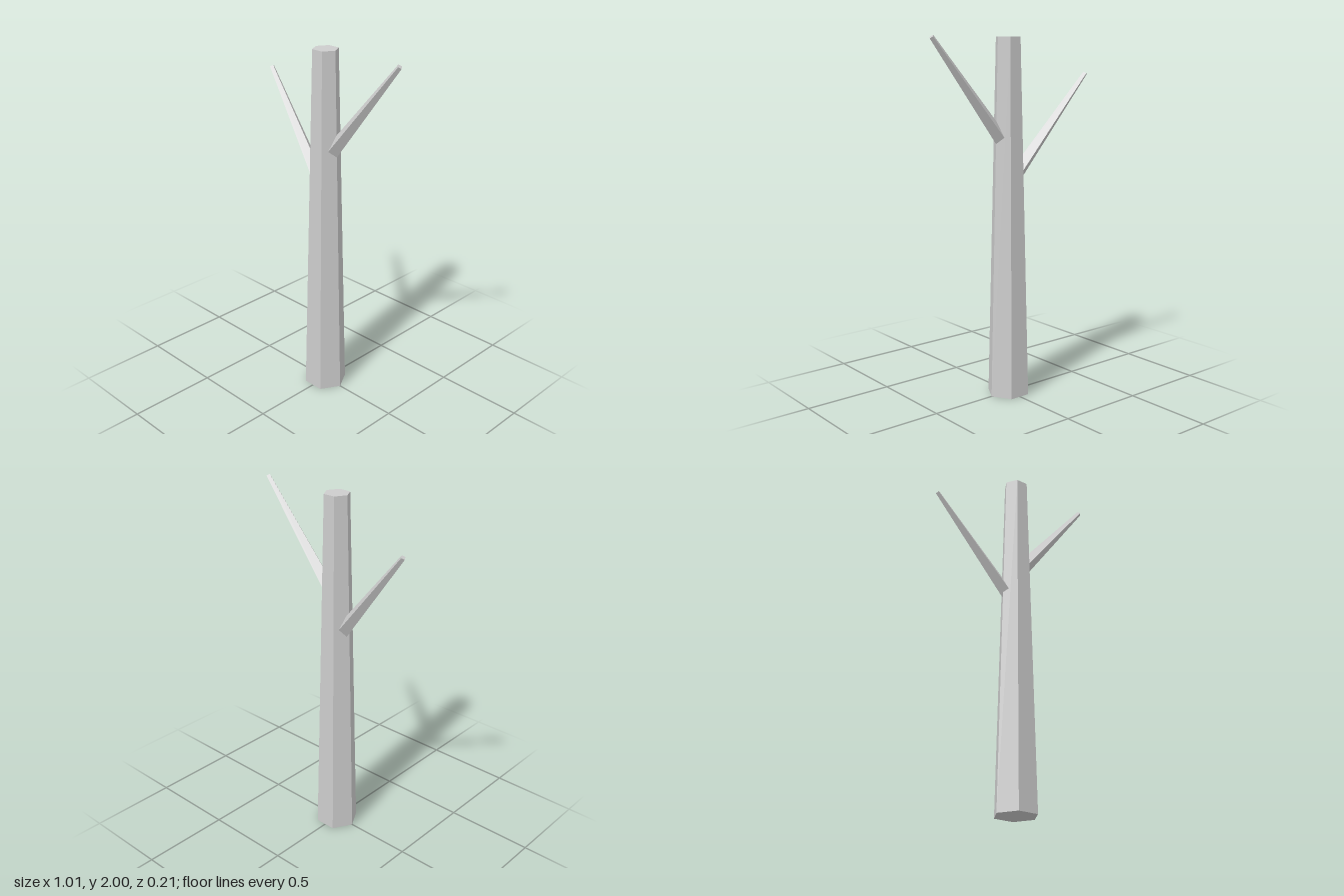
import * as THREE from 'three';

export function createModel() {
  const model = new THREE.Group();
  model.name = 'bareTree';
  const bark = new THREE.MeshStandardMaterial({ color: 0xcccccc, flatShading: true });
  bark.name = 'paleGreyBark';

  // Six-sided tapering trunk with corners on the x axis
  const trunk = new THREE.Mesh(
    new THREE.CylinderGeometry(0.07, 0.121, 1.992, 6, 1, false, Math.PI / 6), bark);
  trunk.name = 'trunk';
  trunk.position.y = 0.996;
  model.add(trunk);

  // Four-sided tapering branch from base to tip, one edge kept on top
  function addBranch(name, base, tip, baseRadius, tipRadius) {
    const span = tip.clone().sub(base);
    const geometry = new THREE.CylinderGeometry(tipRadius, baseRadius, span.length(), 4);
    geometry.translate(0, span.length() / 2, 0);
    geometry.rotateZ(-Math.atan2(Math.hypot(span.x, span.z), span.y));
    geometry.rotateY(Math.atan2(-span.z, span.x));
    const branch = new THREE.Mesh(geometry, bark);
    branch.name = name;
    branch.position.copy(base);
    model.add(branch);
  }

  addBranch('leftBranch', new THREE.Vector3(0.03, 1.425, 0),
    new THREE.Vector3(0.494, 1.991, 0), 0.043, 0.014);
  addBranch('rightBranch', new THREE.Vector3(-0.03, 1.225, -0.005),
    new THREE.Vector3(-0.494, 1.791, -0.078), 0.043, 0.014);

  return model;
}
